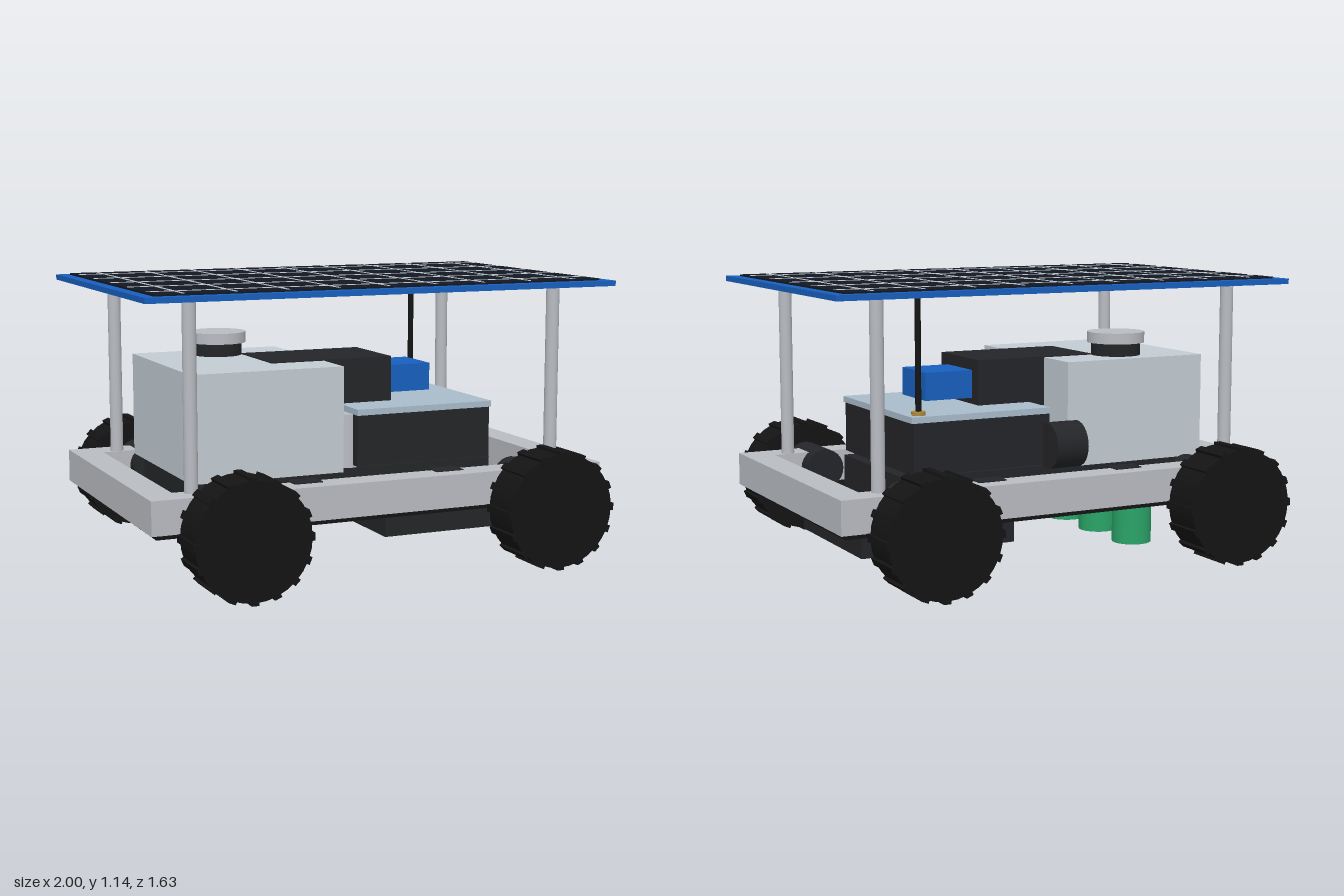
import * as THREE from 'three';

const BLACK = 0x141415, DARK = 0x242528, GREY = 0xb9bcc2, PALE = 0xc3ccd3, BLUE = 0x1860c0, GREEN = 0x2aa468;

export function createModel() {
  const model = new THREE.Group();
  const mats = {};
  const mat = (color) => (mats[color] ??= new THREE.MeshStandardMaterial({ color }));

  const add = (name, geometry, color, x, y, z, parent = model) => {
    const mesh = new THREE.Mesh(geometry, mat(color));
    mesh.name = name;
    mesh.position.set(x, y, z);
    parent.add(mesh);
    return mesh;
  };
  // Box given by its limits on each axis
  const box = (name, color, [x0, x1], [y0, y1], [z0, z1], parent) =>
    add(name, new THREE.BoxGeometry(x1 - x0, y1 - y0, z1 - z0), color,
      (x0 + x1) / 2, (y0 + y1) / 2, (z0 + z1) / 2, parent);
  // Upright cylinder from y0 to y1
  const post = (name, color, r, x, z, y0, y1, sides = 24) =>
    add(name, new THREE.CylinderGeometry(r, r, y1 - y0, sides), color, x, (y0 + y1) / 2, z);

  // Chassis: a frame of four rails over a floor plate
  const rect = (Type, w, d) => new Type([[-w, -d], [w, -d], [w, d], [-w, d]].map((p) => new THREE.Vector2(...p)));
  const frame = rect(THREE.Shape, 0.975, 0.582);
  frame.holes.push(rect(THREE.Path, 0.855, 0.462));
  const frameGeometry = new THREE.ExtrudeGeometry(frame, { depth: 0.135, bevelEnabled: false });
  frameGeometry.rotateX(-Math.PI / 2);
  add('chassisFrame', frameGeometry, GREY, 0, 0.245, 0);
  box('floorPlate', BLACK, [-0.95, 0.95], [0.225, 0.247], [-0.56, 0.56]);
  box('equipmentDeck', DARK, [-0.72, 0.6], [0.247, 0.385], [-0.31, 0.31]);
  box('bellyBox', DARK, [0.115, 0.785], [0.083, 0.225], [-0.314, 0.314]);

  // Wheels with tread lugs, hubs, axles and motors
  for (const sx of [-1, 1]) for (const sz of [-1, 1]) {
    const wheel = new THREE.Group();
    wheel.name = 'wheel';
    wheel.position.set(sx * 0.653, 0.244, sz * 0.723);
    model.add(wheel);
    const tyre = new THREE.CylinderGeometry(0.23, 0.23, 0.174, 32);
    add('tyre', tyre, BLACK, 0, 0, 0, wheel).rotation.x = Math.PI / 2;
    for (let i = 0; i < 16; i++) {
      const a = (i / 16) * Math.PI * 2;
      const lug = add('treadLug', new THREE.BoxGeometry(0.03, 0.034, 0.18), BLACK,
        -Math.sin(a) * 0.223, Math.cos(a) * 0.223, 0, wheel);
      lug.rotation.z = a;
    }
    const axle = new THREE.CylinderGeometry(0.028, 0.028, 0.1, 20);
    add('axle', axle, GREY, 0, 0, -sz * 0.11, wheel).rotation.x = Math.PI / 2;
    const motor = new THREE.CylinderGeometry(0.084, 0.084, 0.24, 24);
    add('motor', motor, DARK, sx * 0.653, 0.313, sz * 0.52).rotation.x = Math.PI / 2;
    box('sideBracket', DARK, [sx * 0.31 - 0.06, sx * 0.31 + 0.06], [0.26, 0.384], [sz * 0.47 - 0.04, sz * 0.47 + 0.04]);
    // Canopy post
    post('canopyPost', GREY, 0.027, sx * 0.787, sz * 0.49, 0.38, 1.105);
  }

  // Tank with filler cap, pipe and pump
  box('tank', PALE, [-0.745, -0.1], [0.383, 0.812], [-0.372, 0.372]);
  post('fillerNeck', DARK, 0.103, -0.424, -0.208, 0.81, 0.867, 32);
  post('fillerCap', GREY, 0.12, -0.424, -0.208, 0.865, 0.91, 32);
  post('pipe', GREY, 0.06, -0.037, 0.25, 0.383, 0.605);
  const pump = new THREE.CylinderGeometry(0.094, 0.094, 0.14, 28);
  add('pump', pump, DARK, -0.07, 0.48, -0.38).rotation.z = Math.PI / 2;

  // Electronics case on standoffs
  box('electronicsCase', DARK, [-0.03, 0.575], [0.396, 0.605], [-0.347, 0.35]);
  box('caseLid', 0xa9bccb, [-0.03, 0.583], [0.605, 0.63], [-0.352, 0.354]);
  for (const x of [0.02, 0.435]) box('standoff', GREEN, [x - 0.033, x + 0.033], [0.38, 0.398], [-0.08, 0.08]);

  // Control unit with its blue front module
  box('controlUnit', DARK, [-0.33, 0.205], [0.612, 0.816], [-0.172, 0.175]);
  box('frontModule', BLUE, [0.205, 0.415], [0.655, 0.77], [-0.114, 0.114]);

  // Antenna
  post('antennaBase', 0xb08a3c, 0.028, 0.532, -0.3, 0.63, 0.645);
  post('antenna', BLACK, 0.012, 0.532, -0.3, 0.64, 1.105, 12);

  // Row of three sensors below the floor
  for (const z of [-0.28, 0, 0.28]) post('sensor', GREEN, 0.083, -0.467, z, 0.02, 0.19, 20);

  // Solar panel: blue tray, dark cells and grid lines
  box('panelTray', BLUE, [-1, 1], [1.115, 1.137], [-0.627, 0.627]);
  box('panelCells', 0x121722, [-0.952, 0.952], [1.135, 1.144], [-0.582, 0.582]);
  for (let i = -4; i <= 4; i++)
    box('cellLine', PALE, [i * 0.209 - 0.005, i * 0.209 + 0.005], [1.14, 1.146], [-0.575, 0.575]);
  for (let i = -2; i <= 2; i++)
    box('cellLine', PALE, [-0.945, 0.945], [1.14, 1.1462], [i * 0.233 - 0.005, i * 0.233 + 0.005]);

  return model;
}
